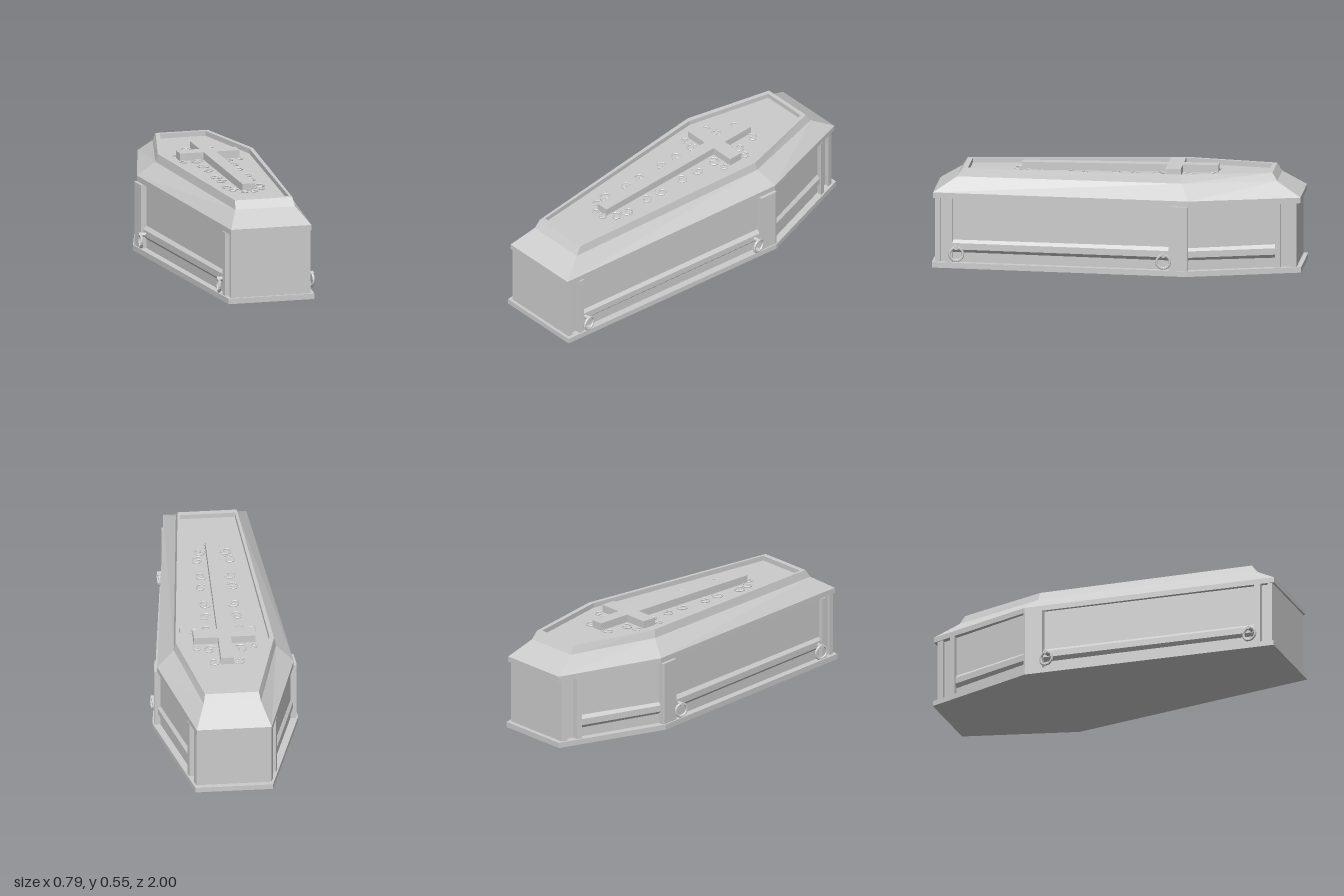
import * as THREE from 'three';

const material = new THREE.MeshStandardMaterial({ color: 0xcccccc, flatShading: true, side: THREE.DoubleSide });
const CORNER_Z = -0.39;

// Six-sided outline: half-width and z at the foot, shoulder and head
function hex(foot, footZ, shoulder, shoulderZ, head, headZ) {
  return [[foot, footZ], [shoulder, shoulderZ], [head, headZ],
    [-head, headZ], [-shoulder, shoulderZ], [-foot, footZ]];
}

// Closed solid through stacked outlines, each { y, points: [[x, z], ...] }
function loft(sections) {
  const pos = [];
  const put = (s, i) => {
    const p = s.points[i % s.points.length];
    pos.push(p[0], s.y, p[1]);
  };
  const n = sections[0].points.length;
  for (let k = 0; k < sections.length - 1; k++) {
    const a = sections[k], b = sections[k + 1];
    for (let i = 0; i < n; i++) {
      put(a, i); put(a, i + 1); put(b, i + 1);
      put(a, i); put(b, i + 1); put(b, i);
    }
  }
  const bottom = sections[0], top = sections[sections.length - 1];
  for (let i = 1; i < n - 1; i++) {
    put(bottom, 0); put(bottom, i + 1); put(bottom, i);
    put(top, 0); put(top, i); put(top, i + 1);
  }
  const g = new THREE.BufferGeometry();
  g.setAttribute('position', new THREE.Float32BufferAttribute(pos, 3));
  g.computeVertexNormals();
  return g;
}

// Half-width of the base plate at a given z
function edgeX(z) {
  return z > CORNER_Z
    ? 0.24 + (1 - z) * 0.155 / (1 - CORNER_Z)
    : 0.395 - (CORNER_Z - z) * 0.185 / (1 + CORNER_Z);
}

export function createModel() {
  const model = new THREE.Group();
  const add = (name, geometry, parent = model) => {
    const mesh = new THREE.Mesh(geometry, material);
    mesh.name = name;
    parent.add(mesh);
    return mesh;
  };

  // Base plate and body
  const base = hex(0.24, 1, 0.395, CORNER_Z, 0.21, -1);
  add('basePlate', loft([{ y: 0, points: base }, { y: 0.03, points: base }]));
  const body = hex(0.205, 0.984, 0.355, CORNER_Z, 0.178, -0.975);
  add('body', loft([{ y: 0.03, points: body }, { y: 0.385, points: body }]));

  // Lid: rim, long slope, short slope, raised border and sunken panel
  add('lid', loft([
    { y: 0.38, points: hex(0.225, 0.995, 0.37, -0.4, 0.203, -0.995) },
    { y: 0.41, points: hex(0.225, 0.995, 0.37, -0.4, 0.203, -0.995) },
    { y: 0.49, points: hex(0.167, 0.87, 0.277, -0.36, 0.155, -0.865) },
    { y: 0.535, points: hex(0.16, 0.84, 0.267, -0.35, 0.146, -0.838) },
    { y: 0.535, points: hex(0.148, 0.812, 0.243, -0.34, 0.128, -0.815) },
    { y: 0.508, points: hex(0.148, 0.812, 0.243, -0.34, 0.128, -0.815) },
  ]));

  // Bar on a side wall following its taper; profile is [y, inset from base edge]
  const sideBar = (name, side, zs, profile) => {
    const sections = profile.map(([y, inset]) => {
      const outer = zs.map((z) => [side * (edgeX(z) - inset), z]);
      const inner = zs.map((z) => [side * (edgeX(z) - 0.06), z]).reverse();
      const points = [...outer, ...inner];
      return { y, points: side < 0 ? points.reverse() : points };
    });
    add(name, loft(sections));
  };

  for (const side of [1, -1]) {
    // Corner strips and pilasters
    const strips = [
      [0.984, 0.957, 0.02], [0.92, 0.888, 0.009],
      [-0.86, -0.89, 0.009], [-0.94, -0.975, 0.014],
    ];
    for (const [z0, z1, inset] of strips) {
      sideBar('sidePilaster', side, [z0, z1], [[0.03, inset], [0.38, inset]]);
    }
    sideBar('shoulderPost', side, [-0.295, CORNER_Z, -0.4], [[0.03, 0.008], [0.38, 0.008]]);

    // Bevelled mouldings along the lower walls
    const moulding = [[0.08, 0.04], [0.1, 0.022], [0.135, 0.022], [0.155, 0.04]];
    sideBar('footMoulding', side, [0.888, -0.295], moulding);
    sideBar('headMoulding', side, [-0.38, -0.87], moulding);

    // Ring handles hung from short pegs
    for (const z of [0.866, -0.267]) {
      const handle = new THREE.Group();
      handle.name = 'ringHandle';
      handle.position.set(side * (edgeX(z) + 0.004), 0.08, z);
      handle.rotation.y = side * 0.11;
      const ring = add('ring', new THREE.TorusGeometry(0.036, 0.0075, 6, 16), handle);
      ring.rotation.y = Math.PI / 2;
      const peg = add('peg', new THREE.CylinderGeometry(0.011, 0.011, 0.05, 8), handle);
      peg.rotation.z = Math.PI / 2;
      peg.position.set(-side * 0.014, 0.034, 0);
      model.add(handle);
    }
  }

  // Raised cross on the lid panel
  const outline = [[0.035, -0.53], [0.035, 0.26], [0.167, 0.26], [0.167, 0.343], [0.035, 0.343], [0.035, 0.535]];
  const crossPoints = [...outline, ...outline.map(([x, y]) => [-x, y]).reverse()];
  const shape = new THREE.Shape(crossPoints.map(([x, y]) => new THREE.Vector2(x, y)));
  const cross = add('cross', new THREE.ExtrudeGeometry(shape, { depth: 0.045, bevelEnabled: false }));
  cross.rotation.x = -Math.PI / 2;
  cross.position.y = 0.505;

  // Spiral scrollwork around the cross: [x, z, radius, start angle, turn direction]
  const scrolls = [
    [0.075, 0.5, 0.035, 3.1, 1], [0.085, 0.42, 0.04, 2.4, -1],
    [0.08, 0.28, 0.036, 3.5, 1], [0.085, 0.17, 0.036, 2.6, -1],
    [0.08, 0.02, 0.036, 3.6, 1], [0.085, -0.1, 0.036, 2.6, -1],
    [0.085, -0.21, 0.04, 3.4, 1], [0.155, -0.23, 0.026, 2.2, -1],
    [0.155, -0.375, 0.026, 3.8, 1], [0.085, -0.4, 0.038, 2.6, -1],
    [0.07, -0.51, 0.034, 3.2, 1], [0.025, 0.545, 0.024, 2.2, -1],
  ];
  const scrollwork = new THREE.Group();
  scrollwork.name = 'scrollwork';
  model.add(scrollwork);
  for (const side of [1, -1]) {
    for (const [x, z, radius, start, turn] of scrolls) {
      const points = [];
      for (let i = 0; i <= 12; i++) {
        const angle = start + turn * i * 0.6;
        const r = radius * (1 - 0.065 * i);
        points.push(new THREE.Vector3(side * (x + r * Math.cos(angle)), 0.511, z + r * Math.sin(angle)));
      }
      add('scroll', new THREE.TubeGeometry(new THREE.CatmullRomCurve3(points), 28, 0.004, 5), scrollwork);
    }
  }
  return model;
}
